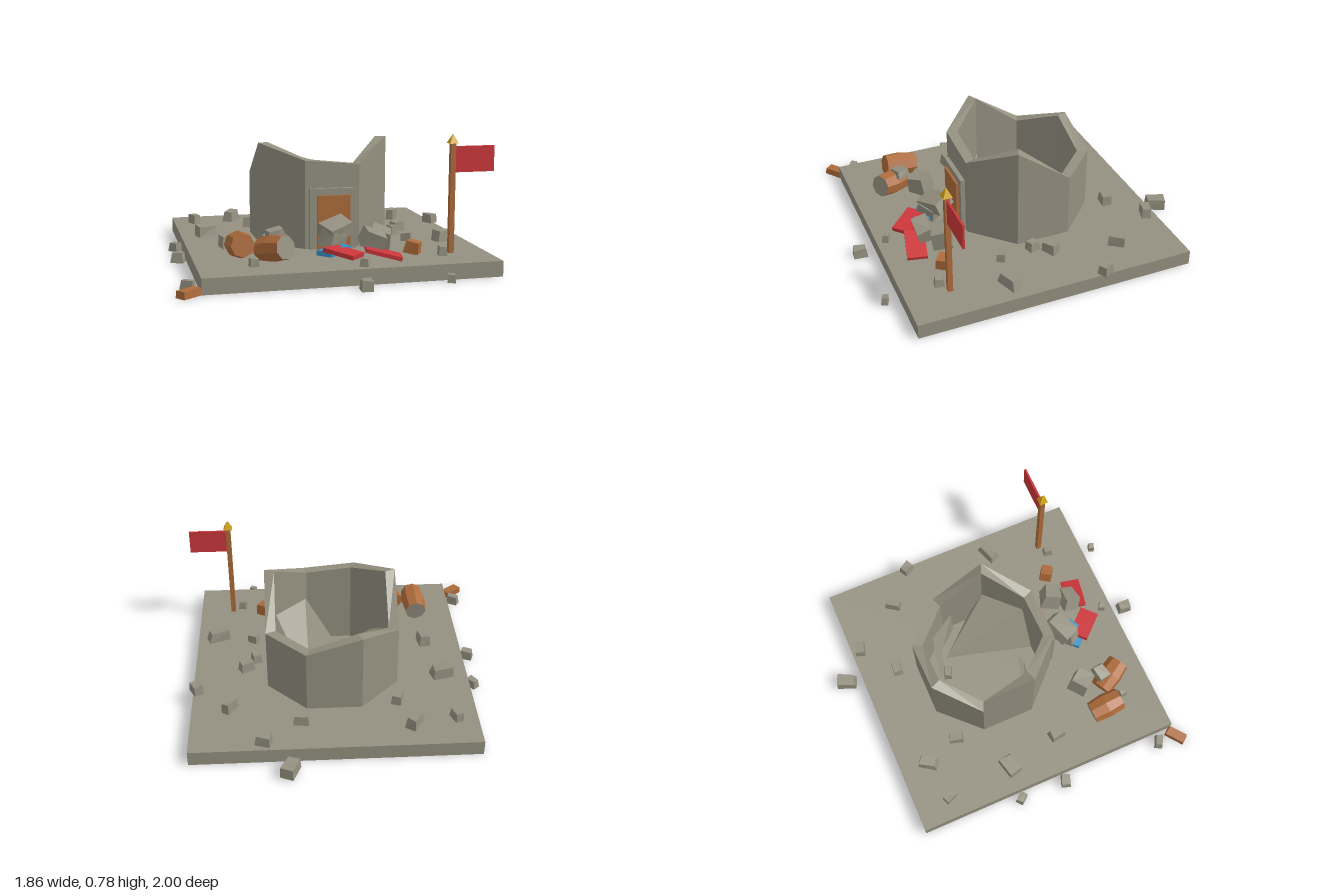
import * as THREE from 'three';

const mat = (name, color, side = THREE.FrontSide) => {
  const m = new THREE.MeshStandardMaterial({ color, side, flatShading: true });
  m.name = name;
  return m;
};
const stone = mat('stone', 0x949080, THREE.DoubleSide);
const wood = mat('wood', 0xad6b3b);
const red = mat('red cloth', 0xcc363a);
const blue = mat('blue cloth', 0x3a94c8);
const gold = mat('gold', 0xd4a415);

const GROUND = 0.09;

export function createModel() {
  const root = new THREE.Group();
  let seed = 7;
  const rnd = () => (seed = (seed * 16807) % 2147483647) / 2147483647;

  const add = (name, geo, material, pos = [0, 0, 0], rot = [0, 0, 0]) => {
    const m = new THREE.Mesh(geo, material);
    m.name = name;
    m.position.set(...pos);
    m.rotation.set(...rot, 'YXZ');
    root.add(m);
    return m;
  };
  const box = (name, material, size, pos, rot) =>
    add(name, new THREE.BoxGeometry(...size), material, pos, rot);

  // Flat faces from lists of corner points, fan-triangulated
  const faces = (list) => {
    const p = [];
    for (const f of list)
      for (let i = 1; i < f.length - 1; i++) p.push(...f[0], ...f[i], ...f[i + 1]);
    const g = new THREE.BufferGeometry();
    g.setAttribute('position', new THREE.Float32BufferAttribute(p, 3));
    g.computeVertexNormals();
    return g;
  };

  // Chipped block: box whose top corners are pulled in unevenly
  const rock = (name, material, size, pos, rot) => {
    const g = new THREE.BoxGeometry(...size);
    const a = g.attributes.position;
    const pull = Array.from({ length: 4 }, () => [0.72 + rnd() * 0.26, 0.75 + rnd() * 0.25]);
    for (let i = 0; i < a.count; i++) {
      if (a.getY(i) < 0) continue;
      const [s, h] = pull[(a.getX(i) > 0 ? 1 : 0) + (a.getZ(i) > 0 ? 2 : 0)];
      a.setXYZ(i, a.getX(i) * s, a.getY(i) * h, a.getZ(i) * s);
    }
    g.computeVertexNormals();
    return add(name, g, material, pos, rot);
  };

  // Ground slab, hollow and open underneath
  const slab = new THREE.BoxGeometry(1.69, GROUND, 1.69);
  slab.setIndex([...slab.index.array].filter((_, i) => i < 18 || i >= 24));
  slab.clearGroups();
  add('groundSlab', slab, stone, [0.045, GROUND / 2, 0.015]);

  // Broken octagonal tower: one rim height per corner
  const rim = [0.72, 0.585, 0.615, 0.7, 0.48, 0.58, 0.48, 0.48];
  const corner = (i, r, y) => {
    const t = Math.PI / 8 + (i * Math.PI) / 4;
    return [0.04 + r * Math.cos(t), y, -0.08 + r * Math.sin(t)];
  };
  const walls = [];
  for (let i = 0; i < 8; i++) {
    const section = (k) => [
      corner(k, 0.43, GROUND), corner(k, 0.43, rim[k % 8]),
      corner(k, 0.365, rim[k % 8]), corner(k, 0.365, GROUND),
    ];
    const a = section(i), b = section(i + 1);
    for (let j = 0; j < 3; j++) walls.push([a[j], a[j + 1], b[j + 1], b[j]]);
  }
  add('towerWalls', faces(walls), stone);

  // Collapsed floor and fallen slabs inside the tower
  add('collapsedFloor', faces([
    [[0.18, 0.1, -0.28], [0.03, 0.1, 0.255], [0.19, 0.4, 0.255], [0.38, 0.41, 0.07], [0.34, 0.3, -0.04]],
  ]), stone);
  add('fallenSlabLeft', faces([
    [[-0.31, 0.3, 0.05], [-0.3, 0.28, 0.12], [-0.05, 0.1, 0.17], [0, 0.1, 0.15]],
  ]), stone);
  add('fallenSlabBack', faces([
    [[0.06, 0.1, -0.34], [0.05, 0.16, -0.38], [0.25, 0.34, -0.33], [0.21, 0.2, -0.29]],
    [[0.21, 0.2, -0.29], [0.25, 0.34, -0.33], [0.37, 0.3, -0.16], [0.35, 0.1, -0.16]],
  ]), stone);
  rock('innerRock', stone, [0.08, 0.06, 0.05], [0.08, 0.12, -0.31], [0, -0.4, 0]);
  box('innerPlank', wood, [0.05, 0.1, 0.08], [-0.28, 0.14, 0.01], [0.3, 0.5, 0]);

  // Doorway
  box('doorFrame', stone, [0.28, 0.36, 0.05], [0.04, 0.27, 0.32]);
  box('door', wood, [0.2, 0.32, 0.05], [0.04, 0.25, 0.335]);

  // Flag
  box('flagPole', wood, [0.03, 0.65, 0.03], [0.675, 0.41, 0.6]);
  add('poleTip', new THREE.ConeGeometry(0.038, 0.055, 4), gold, [0.675, 0.755, 0.6], [0, Math.PI / 4, 0]);
  box('flag', red, [0.24, 0.15, 0.012], [0.808, 0.635, 0.6]);

  // Barrels: bulging eight-sided staves, stone-grey lid at the local top
  const barrel = (name, pos, axis) => {
    const g = new THREE.CylinderGeometry(0.068, 0.068, 0.2, 8, 2);
    const a = g.attributes.position;
    for (let i = 0; i < a.count; i++)
      if (Math.abs(a.getY(i)) < 0.01) a.setXYZ(i, a.getX(i) * 1.15, 0, a.getZ(i) * 1.15);
    g.computeVertexNormals();
    const m = add(name, g, [wood, stone, wood], pos);
    m.quaternion.setFromUnitVectors(new THREE.Vector3(0, 1, 0), new THREE.Vector3(...axis).normalize());
  };
  barrel('leftBarrel', [-0.545, 0.182, 0.51], [-0.05, -0.15, -1]);
  barrel('rightBarrel', [-0.37, 0.175, 0.62], [0.5, 0.2, 0.85]);

  // Large blocks in front of the door
  const blocks = [
    [[0.12, 0.13, 0.12], [-0.33, 0.155, 0.44], [0.15, 0.7, 0.1]],
    [[0.1, 0.05, 0.08], [-0.35, 0.25, 0.56], [0.1, 0.2, 0.15]],
    [[0.18, 0.08, 0.13], [0.03, 0.24, 0.46], [0.3, 0.5, 0.25]],
    [[0.13, 0.1, 0.1], [0, 0.18, 0.49], [0.2, 0.6, -0.2]],
    [[0.13, 0.13, 0.12], [0.28, 0.18, 0.51], [0.2, -0.4, -0.2]],
    [[0.14, 0.1, 0.1], [0.21, 0.2, 0.6], [0.3, -0.1, -0.35]],
  ];
  for (const b of blocks) rock('fallenBlock', stone, ...b);

  // Torn cloth and broken wood
  box('redClothLeft', red, [0.12, 0.025, 0.2], [0.025, 0.135, 0.63], [0.12, 0.75, 0]);
  box('redClothRight', red, [0.21, 0.022, 0.12], [0.25, 0.125, 0.66], [0, -0.22, -0.25]);
  box('blueClothLeft', blue, [0.1, 0.03, 0.06], [-0.05, 0.115, 0.55], [0, -0.8, 0]);
  box('blueClothRight', blue, [0.08, 0.025, 0.06], [0.04, 0.14, 0.55], [0, 0.5, 0]);
  rock('woodChunk', wood, [0.09, 0.075, 0.08], [0.46, 0.13, 0.56], [0, -0.6, -0.15]);
  rock('woodBeam', wood, [0.13, 0.042, 0.065], [-0.865, 0.022, 0.87], [0, 0.65, 0]);

  // Scattered stones: x, z, width, depth, turn, height of underside
  const stones = [
    [-0.67, -0.61, 0.05, 0.08, 0.4], [-0.42, -0.65, 0.07, 0.12, -0.6],
    [-0.34, -0.43, 0.06, 0.09, -0.3], [-0.64, -0.19, 0.13, 0.09, 0.25],
    [-0.84, -0.2, 0.05, 0.07, 0.7, 0], [-0.85, 0.1, 0.08, 0.06, -0.35, 0],
    [-0.57, 0.16, 0.07, 0.1, 0.15], [-0.86, 0.75, 0.08, 0.05, -0.5, 0],
    [-0.49, 0.66, 0.05, 0.05, 0.1], [0.31, -0.93, 0.08, 0.12, -0.4, 0.01],
    [0.46, -0.77, 0.09, 0.06, -0.3], [0.24, -0.6, 0.09, 0.06, -0.1],
    [0.66, -0.46, 0.05, 0.1, -0.6], [0.87, -0.28, 0.06, 0.08, 0.5],
    [0.57, -0.07, 0.09, 0.06, 0.5], [0.51, 0.02, 0.06, 0.07, 0.3],
    [0.53, 0.23, 0.06, 0.05, -0.5], [0.76, 0.27, 0.14, 0.07, 0.35],
    [0.61, 0.64, 0.05, 0.06, -0.2], [0.1, 0.8, 0.05, 0.04, -0.5],
    [0.55, 0.945, 0.045, 0.04, -0.4, 0.01], [0.065, 0.955, 0.065, 0.085, -0.1, 0],
  ];
  for (const [x, z, w, d, turn, y0 = GROUND] of stones) {
    const h = Math.min(0.07, 0.03 + 0.4 * Math.max(w, d));
    rock('stone', stone, [w, h, d], [x, y0 + h / 2, z], [0, turn, 0]);
  }
  return root;
}
